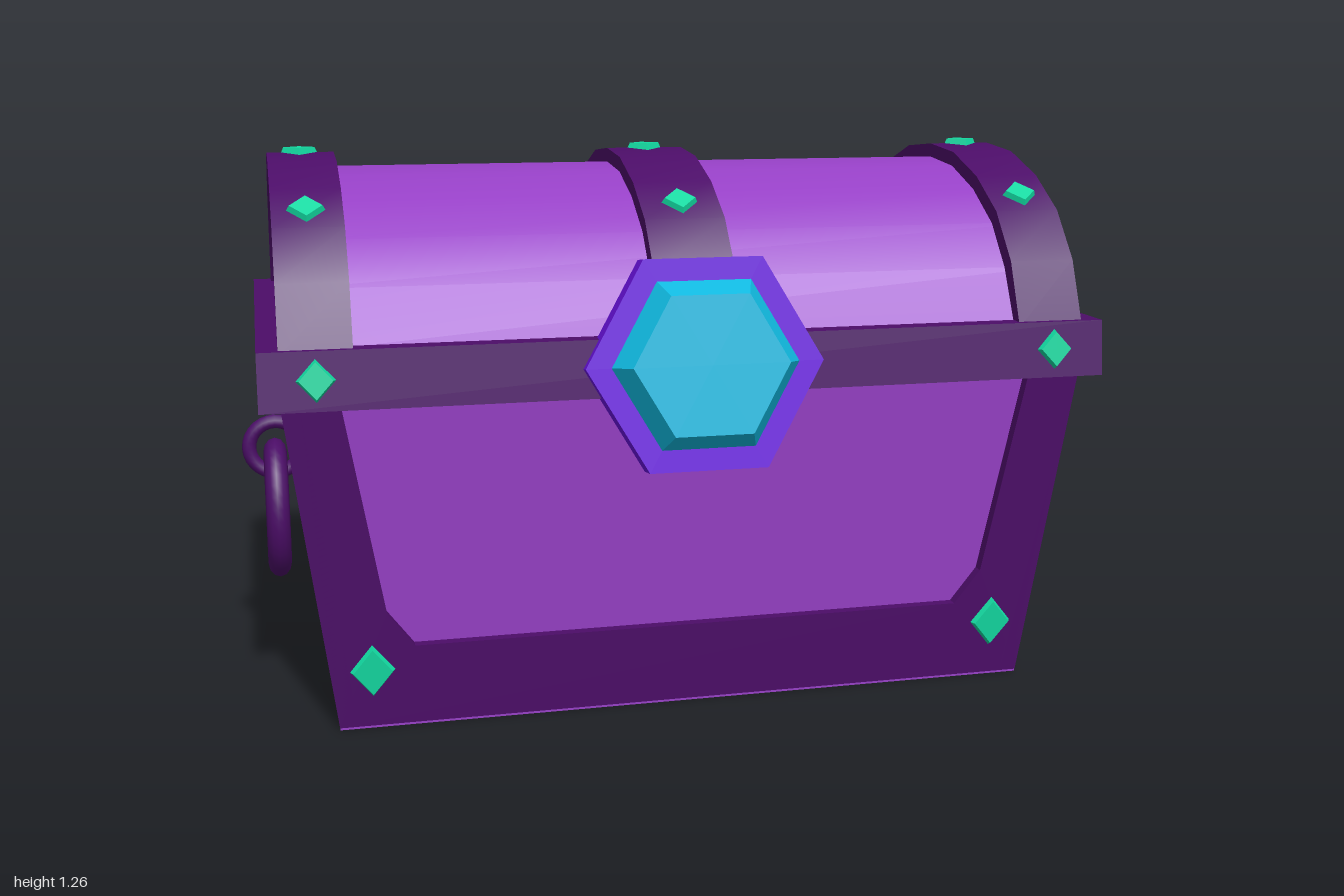
import * as THREE from 'three';
import { toCreasedNormals } from 'three/addons/utils/BufferGeometryUtils.js';

const mat = (name, color) => new THREE.MeshStandardMaterial({ name, color });

export function createModel() {
  const purple = mat('purplePanel', 0x9640c6);
  const dark = mat('darkTrim', 0x4c0d68);
  const violet = mat('violetMount', 0x6a12e0);
  const cyan = mat('cyanGem', 0x10b9e0);
  const green = mat('greenStud', 0x12d8a0);

  const root = new THREE.Group();
  root.name = 'treasureChest';
  const chest = new THREE.Group();
  chest.name = 'chest';
  chest.position.z = -0.042;
  root.add(chest);

  const add = (name, geo, material, parent = chest) => {
    const m = new THREE.Mesh(geo, material);
    m.name = name;
    parent.add(m);
    return m;
  };
  const flat = (geo) => toCreasedNormals(geo, 0.01);

  // Wall positions: the body widens towards the top
  const H = 0.75;
  const halfX = (y) => 0.81 + 0.1 * y / H;
  const halfZ = (y) => 0.505 + 0.055 * y / H;

  // Box whose top and bottom have different half sizes
  const taperedBox = (y0, y1, bx, bz, tx, tz) => {
    const g = new THREE.BoxGeometry(2, y1 - y0, 2);
    g.translate(0, (y0 + y1) / 2, 0);
    const p = g.attributes.position;
    for (let i = 0; i < p.count; i++) {
      const top = p.getY(i) > (y0 + y1) / 2;
      p.setX(i, p.getX(i) * (top ? tx : bx));
      p.setZ(i, p.getZ(i) * (top ? tz : bz));
    }
    return flat(g);
  };

  // Recessed panels and underside
  const inset = 0.025;
  add('bodyPanels', taperedBox(0.004, H, halfX(0) - inset, halfZ(0) - inset,
    halfX(H) - inset, halfZ(H) - inset), purple);
  add('underside', taperedBox(0, 0.005, 0.81, 0.505, 0.81, 0.505), purple);

  // U-shaped trim on each wall, sheared to follow the slope
  const wallTrim = (name, across, out, inner, turn) => {
    const y0 = 0.005;
    const pts = [[-across(y0), y0], [across(y0), y0], [across(H), H], ...inner,
      ...inner.map(([x, y]) => [-x, y]).reverse(), [-across(H), H]];
    const shape = new THREE.Shape(pts.map(([x, y]) => new THREE.Vector2(x, y)));
    const g = new THREE.ExtrudeGeometry(shape, { depth: 0.04, bevelEnabled: false });
    const p = g.attributes.position;
    for (let i = 0; i < p.count; i++) p.setZ(i, p.getZ(i) + out(p.getY(i)) - 0.04);
    g.rotateY(turn);
    add(name, flat(g), dark);
  };
  const longInner = [[0.785, H], [0.7, 0.27], [0.64, 0.19]];
  const shortInner = [[0.43, H], [0.38, 0.28], [0.31, 0.19]];
  wallTrim('frontTrim', halfX, halfZ, longInner, 0);
  wallTrim('backTrim', halfX, halfZ, longInner, Math.PI);
  wallTrim('leftTrim', halfZ, halfX, shortInner, Math.PI / 2);
  wallTrim('rightTrim', halfZ, halfX, shortInner, -Math.PI / 2);

  // Rim between body and lid
  add('rim', taperedBox(0.745, 0.872, 0.955, 0.59, 0.955, 0.575), dark);

  // Lid arch, half profile from the edge to the crown as [z, y]
  const innerHalf = [[0.535, 0.86], [0.47, 0.987], [0.39, 1.082], [0.275, 1.153], [0.142, 1.2], [0, 1.214]];
  const outerHalf = [[0.565, 0.86], [0.503, 1.005], [0.412, 1.112], [0.292, 1.185], [0.147, 1.234], [0, 1.247]];
  const arch = (half) => [...half, ...half.slice(0, -1).reverse().map(([z, y]) => [-z, y])];
  const archSolid = (pts, x0, x1) => {
    const shape = new THREE.Shape(pts.map(([z, y]) => new THREE.Vector2(z, y)));
    const g = new THREE.ExtrudeGeometry(shape, { depth: x1 - x0, bevelEnabled: false });
    g.rotateY(-Math.PI / 2);
    g.translate(x1, 0, 0);
    return toCreasedNormals(g, 0.7);
  };
  add('lid', archSolid(arch(innerHalf), -0.895, 0.895), purple);
  const strapProfile = [...arch(outerHalf), ...arch(innerHalf).reverse()];
  for (const [name, x0, x1] of [['leftStrap', 0.755, 0.91], ['middleStrap', -0.093, 0.093], ['rightStrap', -0.91, -0.755]])
    add(name, archSolid(strapProfile, x0, x1), dark);

  // Diamond studs
  const studGeo = new THREE.CylinderGeometry(0.036, 0.047, 0.024, 4);
  studGeo.rotateX(Math.PI / 2);
  const flatStud = flat(studGeo);
  const stud = (x, y, z, tilt, back = false, sx = 1, sy = 1) => {
    const m = add('stud', flatStud, green);
    m.position.set(x, y, back ? -z : z);
    m.rotation.set(tilt, back ? Math.PI : 0, 0, 'YXZ');
    m.scale.set(sx, sy, 1);
  };
  for (const x of [-0.835, 0, 0.835]) {
    stud(x, 1.247, 0, -Math.PI / 2);
    for (const back of [false, true]) {
      stud(x, 1.145, 0.36, -1.02, back);
      if (x !== 0 || back) stud(x, 0.81, 0.583, -0.12, back, 1, 1.1);
    }
  }
  for (const x of [-0.735, 0.735])
    for (const back of [false, true])
      stud(x, 0.138, halfZ(0.138), 0.073, back, 1.2, 1.48);

  // Hexagonal clasp with a faceted gem, leaning back
  const clasp = new THREE.Group();
  clasp.name = 'clasp';
  clasp.position.set(0, 0.81, 0.582);
  clasp.rotation.x = -0.147;
  chest.add(clasp);
  const hex = (front, back, depth) => {
    const g = new THREE.CylinderGeometry(front, back, depth, 6);
    g.rotateY(Math.PI / 2);
    g.rotateX(Math.PI / 2);
    return flat(g);
  };
  add('gemMount', hex(0.268, 0.268, 0.055), violet, clasp);
  add('gem', hex(0.175, 0.212, 0.055), cyan, clasp).position.z = 0.054;

  // Ring handles, each hanging from a small loop
  for (const s of [1, -1]) {
    const handle = new THREE.Group();
    handle.name = s > 0 ? 'leftHandle' : 'rightHandle';
    chest.add(handle);
    add('loop', new THREE.TorusGeometry(0.063, 0.017, 10, 28), dark, handle).position.set(s * 0.92, 0.538, 0);
    const ring = add('ring', new THREE.TorusGeometry(0.111, 0.028, 12, 36), dark, handle);
    ring.position.set(s * 0.922, 0.385, 0);
    ring.rotation.y = Math.PI / 2;
    ring.scale.y = 1.24;
  }

  return root;
}
